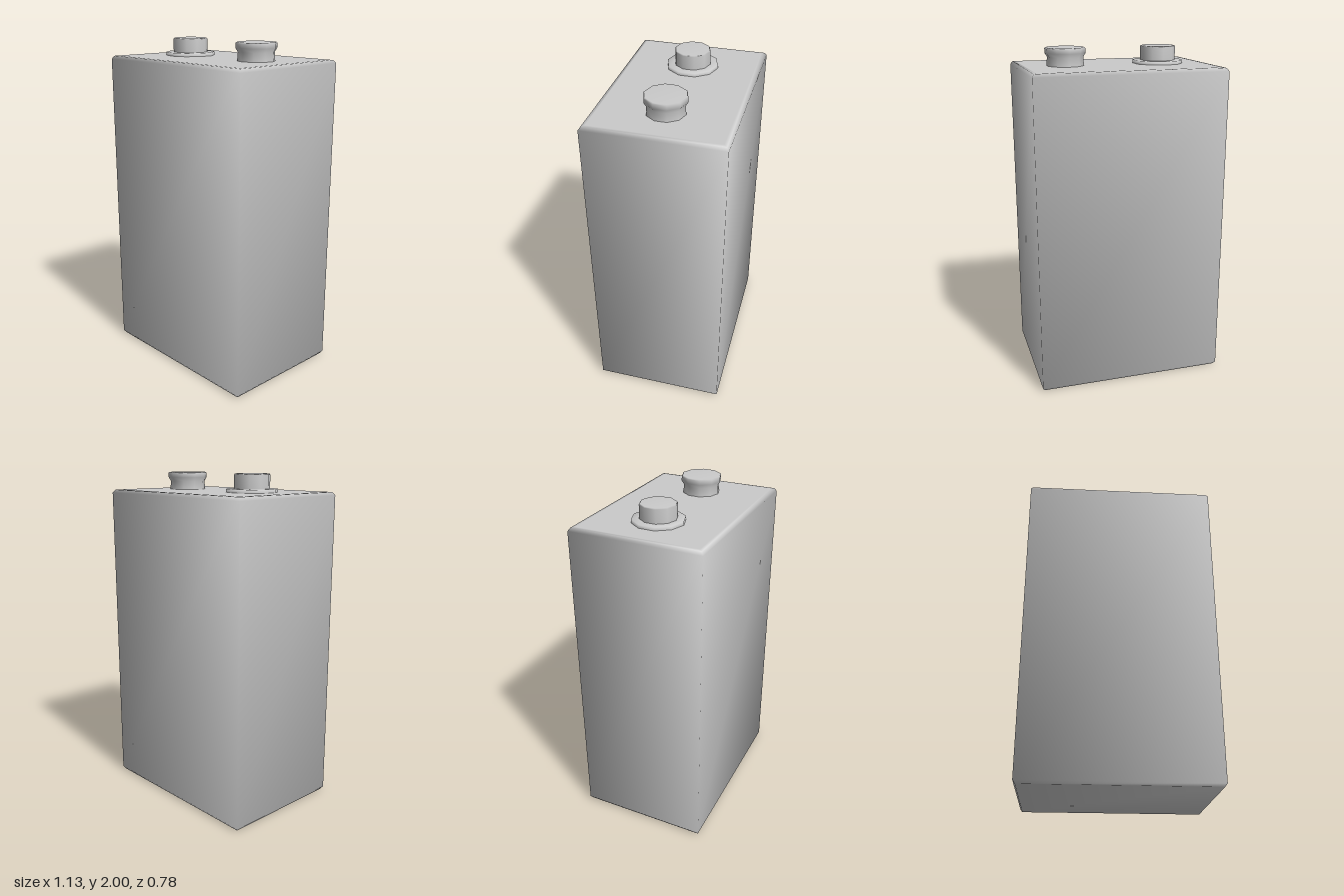
import * as THREE from 'three';

const material = new THREE.MeshStandardMaterial({ color: 0xcccccc });

// Rectangular block from stacked four-corner rings: [half width, y, half depth, normal xz, normal y]
function createCase() {
  const rings = [
    [0.552, 0, 0.377, 1, -1],
    [0.565, 0.018, 0.39, 1, -0.3],
    [0.565, 1.875, 0.39, 1, 0.3],
    [0.553, 1.893, 0.378, 0.8, 1],
    [0.535, 1.895, 0.36, 0, 1],
  ];
  const corners = [[1, 1], [1, -1], [-1, -1], [-1, 1]];
  const positions = [], normals = [], index = [];
  for (const [w, y, d, n, ny] of rings) {
    for (const [sx, sz] of corners) {
      positions.push(sx * w, y, sz * d);
      normals.push(...new THREE.Vector3(sx * n, ny, sz * n).normalize().toArray());
    }
  }
  for (let r = 0; r < rings.length - 1; r++) {
    for (let i = 0; i < 4; i++) {
      const a = r * 4 + i, b = r * 4 + (i + 1) % 4;
      index.push(a, b, b + 4, a, b + 4, a + 4);
    }
  }
  // Flat bottom and top
  const t = (rings.length - 1) * 4;
  index.push(0, 2, 1, 0, 3, 2, t, t + 1, t + 2, t, t + 2, t + 3);

  const geometry = new THREE.BufferGeometry();
  geometry.setAttribute('position', new THREE.Float32BufferAttribute(positions, 3));
  geometry.setAttribute('normal', new THREE.Float32BufferAttribute(normals, 3));
  geometry.setIndex(index);
  return geometry;
}

// Ten-sided turned part with smooth shading
function turned(profile) {
  return new THREE.LatheGeometry(profile.map(([r, y]) => new THREE.Vector2(r, y)), 10);
}

export function createModel() {
  const model = new THREE.Group();
  const add = (name, geometry, x = 0) => {
    const mesh = new THREE.Mesh(geometry, material);
    mesh.name = name;
    mesh.position.x = x;
    model.add(mesh);
  };

  add('case', createCase());

  // Right terminal: wide washer with a plain post
  add('terminalWasher', turned([[0.15, 1.893], [0.15, 1.915], [0.1, 1.915]]), -0.27);
  add('terminalPost', turned([[0.105, 1.91], [0.105, 1.994], [0.1, 2], [0, 2]]), -0.27);

  // Left terminal: narrow neck flaring into a cap
  add('flaredTerminal', turned([
    [0.11, 1.893], [0.106, 1.945], [0.12, 1.968], [0.12, 1.994], [0.114, 2], [0, 2],
  ]), 0.3);

  return model;
}
